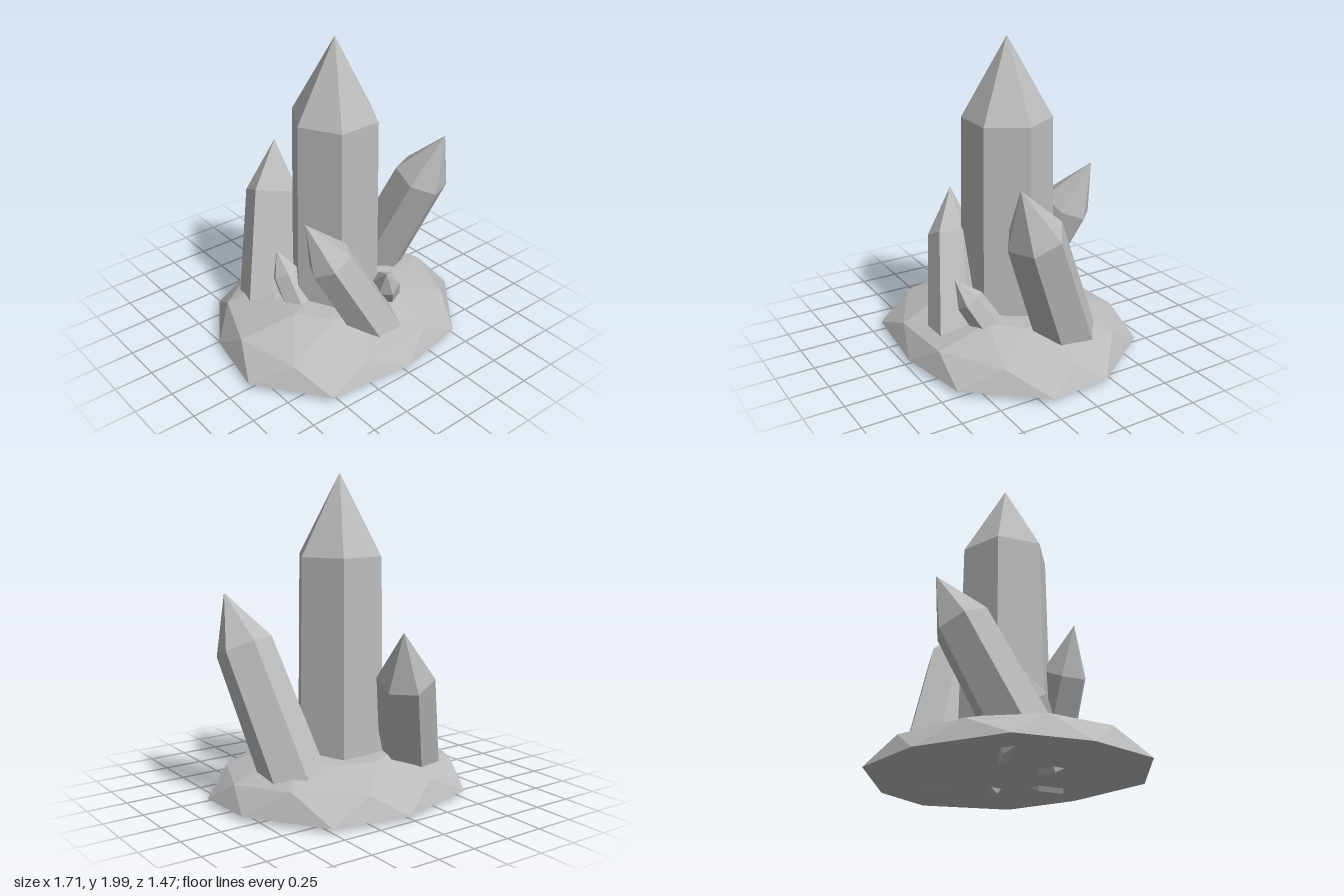
import * as THREE from 'three';

const crystalGrey = new THREE.MeshStandardMaterial({ color: 0xbcbcbc });

// Splits shared corners so that every facet is flat
function facet(geometry) {
  const flat = geometry.index ? geometry.toNonIndexed() : geometry;
  flat.computeVertexNormals();
  return flat;
}

// Six-sided pointed prism from a base centre to its apex
function crystal(name, base, apex, baseRadius, shoulderRadius, tipLength) {
  const axis = new THREE.Vector3(...apex).sub(new THREE.Vector3(...base));
  const length = axis.length();
  const profile = [
    new THREE.Vector2(0, 0),
    new THREE.Vector2(baseRadius, 0),
    new THREE.Vector2(shoulderRadius, length - tipLength),
    new THREE.Vector2(0, length),
  ];
  const geometry = facet(new THREE.LatheGeometry(profile, 6, Math.PI / 6));
  const mesh = new THREE.Mesh(geometry, crystalGrey);
  mesh.name = name;
  mesh.position.set(...base);
  // Turn toward the lean direction, then tilt
  const lean = Math.hypot(axis.x, axis.z);
  mesh.rotation.order = 'YXZ';
  mesh.rotation.y = lean > 0.01 ? Math.atan2(axis.x, axis.z) : 0;
  mesh.rotation.x = Math.atan2(lean, axis.y);
  return mesh;
}

// Low faceted mound built from three staggered rings and two centres
function rockBase() {
  const outline = [
    [0.03, -0.74], [0.51, -0.65], [0.83, -0.19], [0.85, 0.2], [0.49, 0.64],
    [0.02, 0.73], [-0.54, 0.67], [-0.86, 0.25], [-0.78, -0.2], [-0.53, -0.59],
  ];
  const n = outline.length;
  const rim = outline.map(([x, z]) => [x, 0.04, z]);
  const midHeights = [0.18, 0.2, 0.17, 0.17, 0.18, 0.16, 0.17, 0.19, 0.19, 0.18];
  const topHeights = [0.27, 0.29, 0.28, 0.29, 0.25, 0.29, 0.3, 0.28, 0.29, 0.27];
  // Each ring sits on the midpoints of the one outside it
  const inset = (ring, scale, heights) => ring.map((p, i) => {
    const q = ring[(i + 1) % n];
    return [(p[0] + q[0]) / 2 * scale, heights[i], (p[2] + q[2]) / 2 * scale];
  });
  const middle = inset(rim, 0.92, midHeights);
  const upper = inset(middle, 0.6, topHeights);
  const positions = [];
  const triangle = (...corners) => corners.forEach((c) => positions.push(...c));
  for (let i = 0; i < n; i++) {
    const j = (i + 1) % n;
    for (const [outer, inner] of [[rim, middle], [middle, upper]]) {
      triangle(outer[j], outer[i], inner[i]);
      triangle(inner[i], inner[j], outer[j]);
    }
    triangle([0, 0.28, 0], upper[j], upper[i]);
    triangle([0, 0.04, 0], rim[i], rim[j]);
  }
  const geometry = new THREE.BufferGeometry();
  geometry.setAttribute('position', new THREE.Float32BufferAttribute(positions, 3));
  const mesh = new THREE.Mesh(facet(geometry), crystalGrey);
  mesh.name = 'rockBase';
  return mesh;
}

export function createModel() {
  const group = new THREE.Group();
  group.name = 'crystalCluster';
  group.add(
    rockBase(),
    crystal('mainCrystal', [0, 0.1, 0.01], [0, 2, 0.01], 0.3, 0.28, 0.5),
    crystal('rightCrystal', [0.43, 0.09, -0.19], [0.65, 1.28, 0.31], 0.2, 0.18, 0.35),
    crystal('frontCrystal', [0.06, 0.08, 0.435], [-0.385, 0.97, 0.21], 0.165, 0.15, 0.31),
    crystal('backCrystal', [-0.37, 0.085, -0.245], [0, 1.1, -0.63], 0.19, 0.175, 0.34),
    crystal('smallFrontCrystal', [0.3, 0.06, 0.17], [0.08, 0.54, 0.43], 0.105, 0.09, 0.16),
    crystal('smallLeftCrystal', [-0.27, 0.06, 0.12], [-0.31, 0.56, -0.2], 0.11, 0.095, 0.16),
  );
  return group;
}
